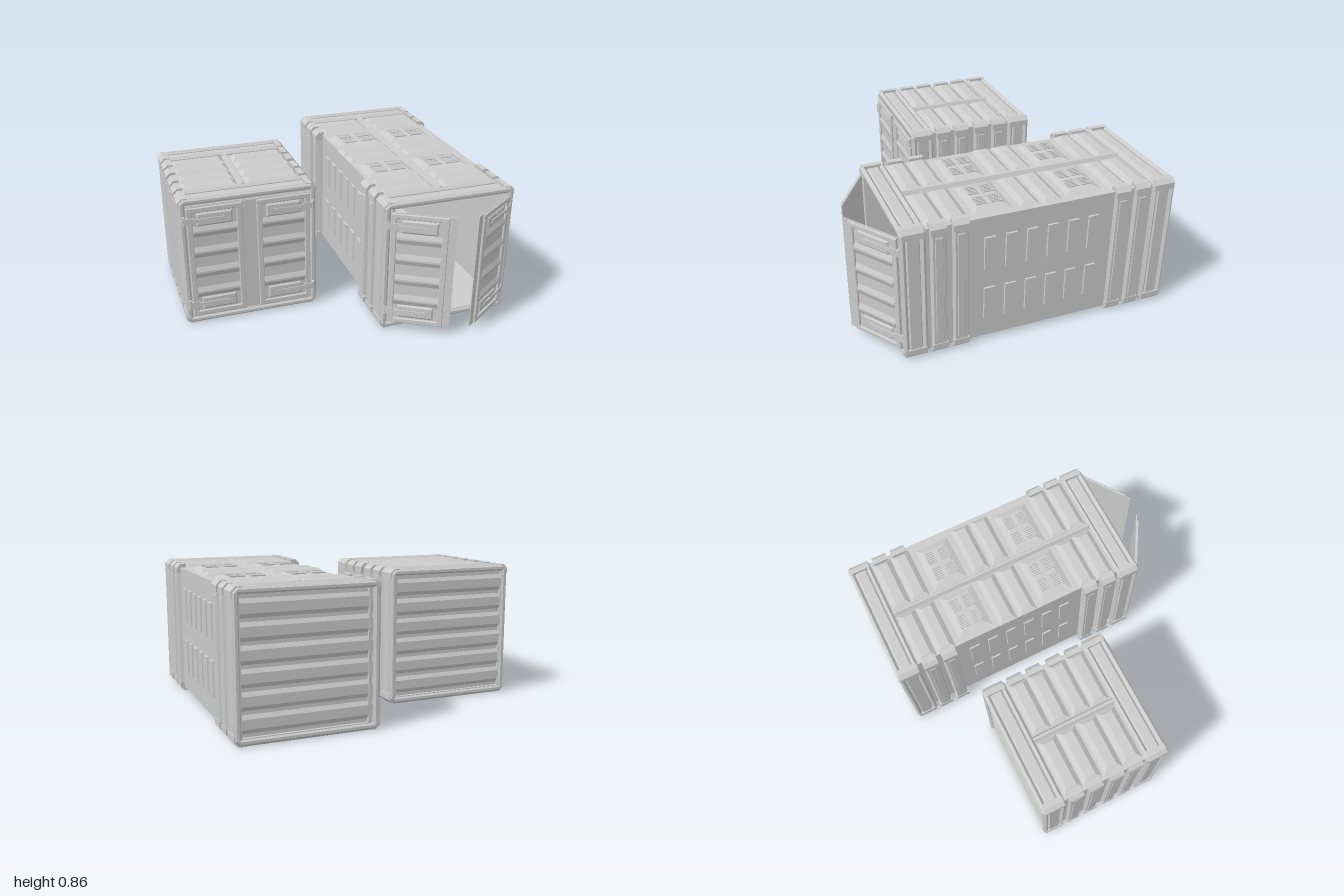
import * as THREE from 'three';

const material = new THREE.MeshStandardMaterial({ color: 0xcccccc, flatShading: true, side: THREE.DoubleSide });
const H = 0.43; // half size of the square section

function add(parent, name, geometry, x = 0, y = 0, z = 0) {
  const mesh = new THREE.Mesh(geometry, material);
  mesh.name = name;
  mesh.position.set(x, y, z);
  parent.add(mesh);
  return mesh;
}
const box = (w, h, d) => new THREE.BoxGeometry(w, h, d);

function polygon(points) {
  return new THREE.Shape(points.map(([x, y]) => new THREE.Vector2(x, y)));
}
const rect = (l, r, b, t) => polygon([[l, b], [r, b], [r, t], [l, t]]);

// Extrusion centred on z, optionally with bevelled edges
function extrude(shape, depth, bevel = 0) {
  const g = new THREE.ExtrudeGeometry(shape, {
    depth: depth - 2 * bevel, bevelEnabled: bevel > 0, bevelSize: bevel, bevelThickness: bevel, bevelSegments: 1,
  });
  return g.translate(0, 0, bevel - depth / 2);
}

// Pressed panel: a plate with sloping sides, standing on y = 0
function pressed(w, d, h, inset) {
  const g = box(w, h, d).translate(0, h / 2, 0);
  const p = g.attributes.position;
  for (let i = 0; i < p.count; i++) {
    if (p.getY(i) < h / 2) continue;
    p.setX(i, p.getX(i) - Math.sign(p.getX(i)) * inset);
    p.setZ(i, p.getZ(i) - Math.sign(p.getZ(i)) * inset);
  }
  g.computeVertexNormals();
  return g;
}

// Sheet with horizontal trapezoid ridges at the given heights
function corrugated(width, half, ridges, flat, slope, rise, thick) {
  const line = [[0, -half]];
  for (const y of ridges) {
    line.push([0, y - flat - slope], [rise, y - flat], [rise, y + flat], [0, y + flat + slope]);
  }
  line.push([0, half]);
  const outer = line.map(([d, y]) => [-d, y]);
  const inner = line.map(([d, y]) => [thick - d, y]).reverse();
  return extrude(polygon([...outer, ...inner]), width).rotateY(Math.PI / 2);
}

// Square frame with chamfered corners
function endRing(depth) {
  const b = 0.015, o = H - b, c = o - 0.02;
  const s = polygon([[-c, -o], [c, -o], [o, -c], [o, c], [c, o], [-c, o], [-o, c], [-o, -c]]);
  s.holes.push(rect(-0.4, 0.4, -0.4, 0.4));
  return extrude(s, depth, b);
}

// Door hinged on x = 0 and reaching to +x, outside facing +z
function makeDoor() {
  const door = new THREE.Group();
  door.name = 'door';
  add(door, 'doorSheet', box(0.385, 0.75, 0.006), 0.1925, 0, 0);
  const frame = rect(0.004, 0.336, -0.368, 0.368);
  frame.holes.push(rect(0.03, 0.31, -0.345, 0.345));
  add(door, 'doorFrame', extrude(frame, 0.016, 0.004), 0, 0, 0.009);
  add(door, 'doorRidges', corrugated(0.27, 0.345, [-0.21, -0.07, 0.07, 0.21], 0.006, 0.03, 0.012, 0.004), 0.17, 0, 0.004);
  for (const s of [-1, 1]) {
    add(door, 'hingePanel', pressed(0.225, 0.09, 0.01, 0.012).rotateX(Math.PI / 2), 0.17, s * 0.29, 0.003);
    add(door, 'hingeStrap', box(0.2, 0.018, 0.008), 0.13, s * 0.29, 0.015);
    add(door, 'hingeBracket', box(0.06, 0.04, 0.014), 0.01, s * 0.29, 0.014);
    add(door, 'hingePin', new THREE.CylinderGeometry(0.01, 0.01, 0.06, 8), -0.018, s * 0.29, 0.012);
  }
  return door;
}

// Vent: a pressed panel with four slatted grilles
function addVent(face, x, y, z) {
  add(face, 'ventPanel', pressed(0.32, 0.23, 0.018, 0.045), x, y, z);
  for (const sx of [-1, 1]) for (const sz of [-1, 1]) {
    for (let i = 0; i < 6; i++) {
      add(face, 'ventSlat', box(0.008, 0.008, 0.062), x + sx * 0.061 + (i - 2.5) * 0.0155, y + 0.02, z + sz * 0.044);
    }
    for (const e of [-1, 1]) add(face, 'ventEdge', box(0.088, 0.007, 0.006), x + sx * 0.061, y + 0.02, z + sz * 0.044 + e * 0.03);
  }
}

// opts: half length, ribs around the section, roof ribs, vents, left wall offset, door angles
function makeContainer({ name, half, ribs, roofRibs, vents, leftWall, sideColumns, angles }) {
  const body = new THREE.Group();
  body.name = name;
  const R = 0.405, T = 0.02;

  // Hollow shell, open at both ends
  const section = rect(-leftWall, R, -R, R);
  section.holes.push(rect(-leftWall + T, R - T, -R + T, R - T));
  add(body, 'shell', extrude(section, 2 * half - 0.02));

  // End frames
  const cornerShape = polygon([[0.37, 0.39], [0.37, H], [0.405, H], [H, 0.405], [H, 0.37], [0.39, 0.37], [0.39, 0.39]]);
  const corners = (z, width) => {
    for (let k = 0; k < 4; k++) add(body, 'cornerRib', extrude(cornerShape, width, 0.001), 0, 0, z).rotation.z = k * Math.PI / 2;
  };
  for (const s of [-1, 1]) {
    add(body, 'endRing', endRing(0.034), 0, 0, s * (half - 0.017));
    add(body, 'innerRing', endRing(0.032), 0, 0, s * (half - 0.132));
    corners(s * (half - 0.075), 0.13);
  }
  for (const z of ribs) corners(z, 0.096);

  // Roof and floor share the same pressings
  for (const turn of [0, Math.PI]) {
    const face = new THREE.Group();
    face.name = turn ? 'floor' : 'roof';
    face.rotation.z = turn;
    body.add(face);
    const spine = polygon([[-0.022, 0], [0.022, 0], [0.008, 0.025], [-0.008, 0.025]]);
    add(face, 'spine', extrude(spine, 2 * (half - 0.145)), 0, R, 0);
    for (const s of [-1, 1]) {
      add(face, 'endPanel', pressed(0.77, 0.082, 0.01, 0.012), 0, R, s * (half - 0.075));
      for (const z of roofRibs) add(face, 'roofRib', pressed(0.355, 0.122, 0.021, 0.03), s * 0.202, R, z);
      for (const z of vents) addVent(face, s * 0.19, R, z);
    }
  }

  // Side walls
  for (const s of [-1, 1]) {
    const wall = new THREE.Group();
    wall.name = s > 0 ? 'leftWall' : 'rightWall';
    wall.rotation.z = -s * Math.PI / 2;
    body.add(wall);
    const base = s > 0 ? R : leftWall;
    for (const z of ribs) {
      add(wall, 'sideRib', pressed(0.78, 0.096, H - base - 0.003, 0.012), 0, base, z);
      add(wall, 'ribBead', pressed(0.7, 0.05, 0.005, 0.004), 0, H - 0.004, z);
    }
    for (const e of [-1, 1]) add(wall, 'endSidePanel', pressed(0.77, 0.09, H - base - 0.006, 0.012), 0, base, e * (half - 0.075));
    for (let i = 0; i < sideColumns; i++) for (const row of [-1, 1]) {
      add(wall, 'sidePlate', pressed(0.22, 0.07, 0.009, 0.003), row * 0.17, base, (i - (sideColumns - 1) / 2) * 0.13);
    }
  }

  // Ridged back wall
  const ridges = [0, 1, 2, 3, 4, 5].map((i) => (i - 2.5) * 0.125);
  const back = add(body, 'backWall', corrugated(0.78, 0.388, ridges, 0.028, 0.024, 0.014, 0.01), 0, 0, -half + 0.028);
  back.rotation.y = Math.PI;

  // Double doors; the second is the first turned half round
  [1, -1].forEach((s, i) => {
    const hinge = new THREE.Group();
    hinge.name = s > 0 ? 'rightDoor' : 'leftDoor';
    hinge.position.set(-s * 0.385, 0, half - 0.003);
    hinge.rotation.y = -s * angles[i];
    const door = makeDoor();
    if (s < 0) door.rotation.z = Math.PI;
    hinge.add(door);
    body.add(hinge);
  });
  return body;
}

export function createModel() {
  const model = new THREE.Group();
  model.name = 'containers';
  const short = makeContainer({
    name: 'shortContainer', half: 0.42, ribs: [-0.2, -0.07, 0.07, 0.2], roofRibs: [-0.2, -0.07, 0.07, 0.2],
    vents: [], leftWall: 0.405, sideColumns: 0, angles: [0, 0],
  });
  short.position.set(-0.57, H, -0.125);
  const long = makeContainer({
    name: 'longContainer', half: 0.85, ribs: [-0.63, -0.5, 0.5, 0.63], roofRibs: [-0.63, -0.5, -0.07, 0.07, 0.5, 0.63],
    vents: [-0.285, 0.285], leftWall: 0.378, sideColumns: 6, angles: [0.54, 0.61],
  });
  long.position.set(0.57, H, -0.12);
  model.add(short, long);
  return model;
}
